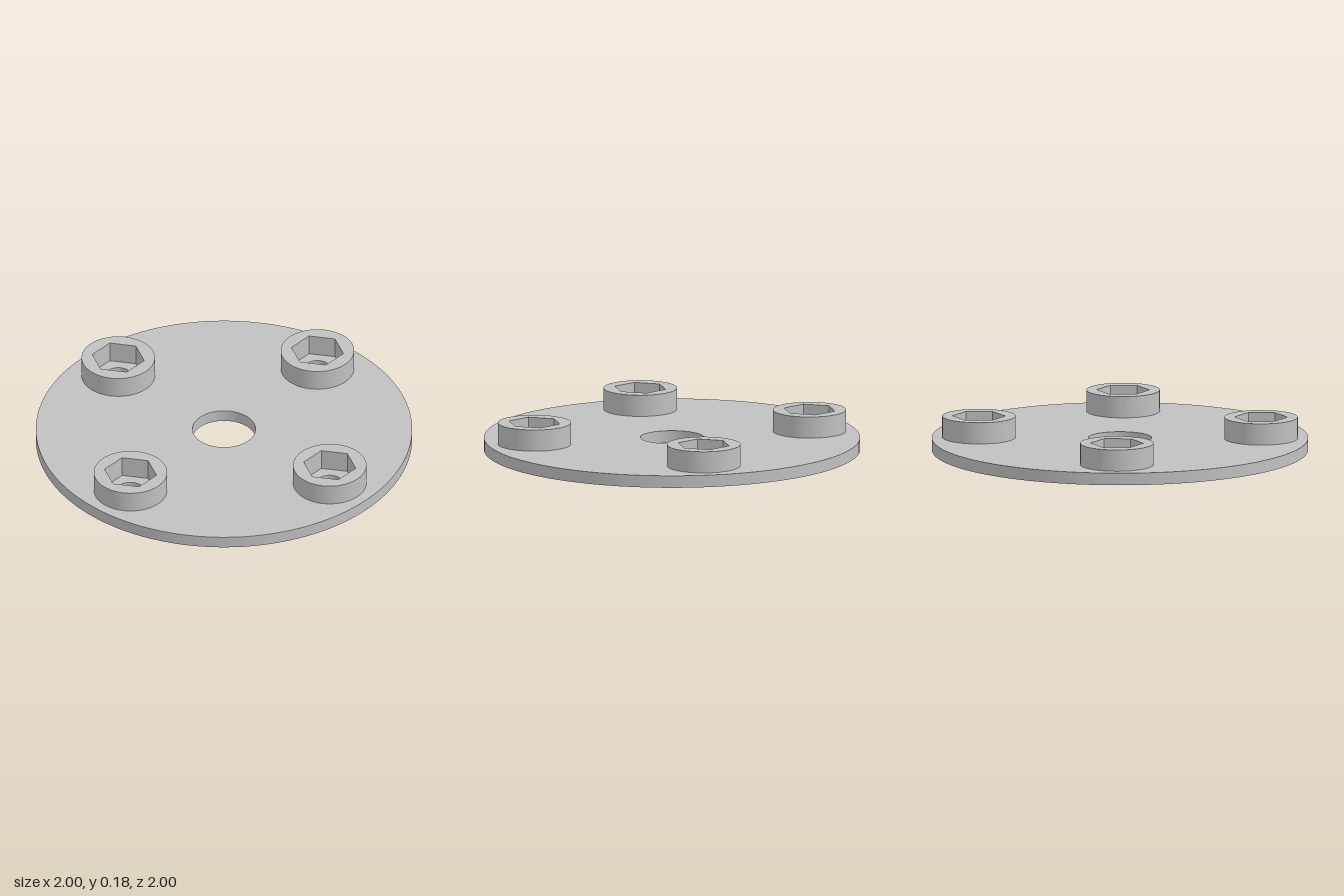
import * as THREE from 'three';
import { toCreasedNormals } from 'three/addons/utils/BufferGeometryUtils.js';

const PLATE_TOP = 0.065, BOSS_TOP = 0.18, BOLT_CIRCLE = 0.75;

function disc(radius) {
  return new THREE.Shape().absarc(0, 0, radius, 0, Math.PI * 2, false);
}

function roundHole(x, y, radius) {
  return new THREE.Path().absarc(x, y, radius, 0, Math.PI * 2, true);
}

// Regular hexagon with corners pointing along z
function hexHole(radius) {
  const points = [];
  for (let i = 0; i < 6; i++) {
    const a = Math.PI / 2 - i * Math.PI / 3;
    points.push(new THREE.Vector2(Math.cos(a) * radius, Math.sin(a) * radius));
  }
  points.push(points[0].clone());
  return new THREE.Path(points);
}

// Extrude a flat outline upwards, keeping only real edges sharp
function extrudeUp(shape, height) {
  const geometry = new THREE.ExtrudeGeometry(shape, { depth: height, bevelEnabled: false, curveSegments: 72 });
  geometry.rotateX(-Math.PI / 2);
  return toCreasedNormals(geometry, 0.5);
}

export function createModel() {
  const model = new THREE.Group();
  model.name = 'flangePlate';
  const metal = new THREE.MeshStandardMaterial({ color: 0xc0c0c0 });
  metal.name = 'light grey';

  const centres = [[1, 0], [0, 1], [-1, 0], [0, -1]].map(([x, z]) => [x * BOLT_CIRCLE, z * BOLT_CIRCLE]);

  // Base plate with centre bore and four bolt holes
  const plateShape = disc(1);
  plateShape.holes.push(roundHole(0, 0, 0.168));
  for (const [x, z] of centres) plateShape.holes.push(roundHole(x, -z, 0.07));
  const plate = new THREE.Mesh(extrudeUp(plateShape, PLATE_TOP), metal);
  plate.name = 'basePlate';
  model.add(plate);

  // Round bosses with hexagonal nut pockets
  const bossShape = disc(0.195);
  bossShape.holes.push(hexHole(0.141));
  const bossGeometry = extrudeUp(bossShape, BOSS_TOP - PLATE_TOP);
  centres.forEach(([x, z], i) => {
    const boss = new THREE.Mesh(bossGeometry, metal);
    boss.name = ['leftBoss', 'frontBoss', 'rightBoss', 'backBoss'][i];
    boss.position.set(x, PLATE_TOP, z);
    model.add(boss);
  });

  return model;
}
